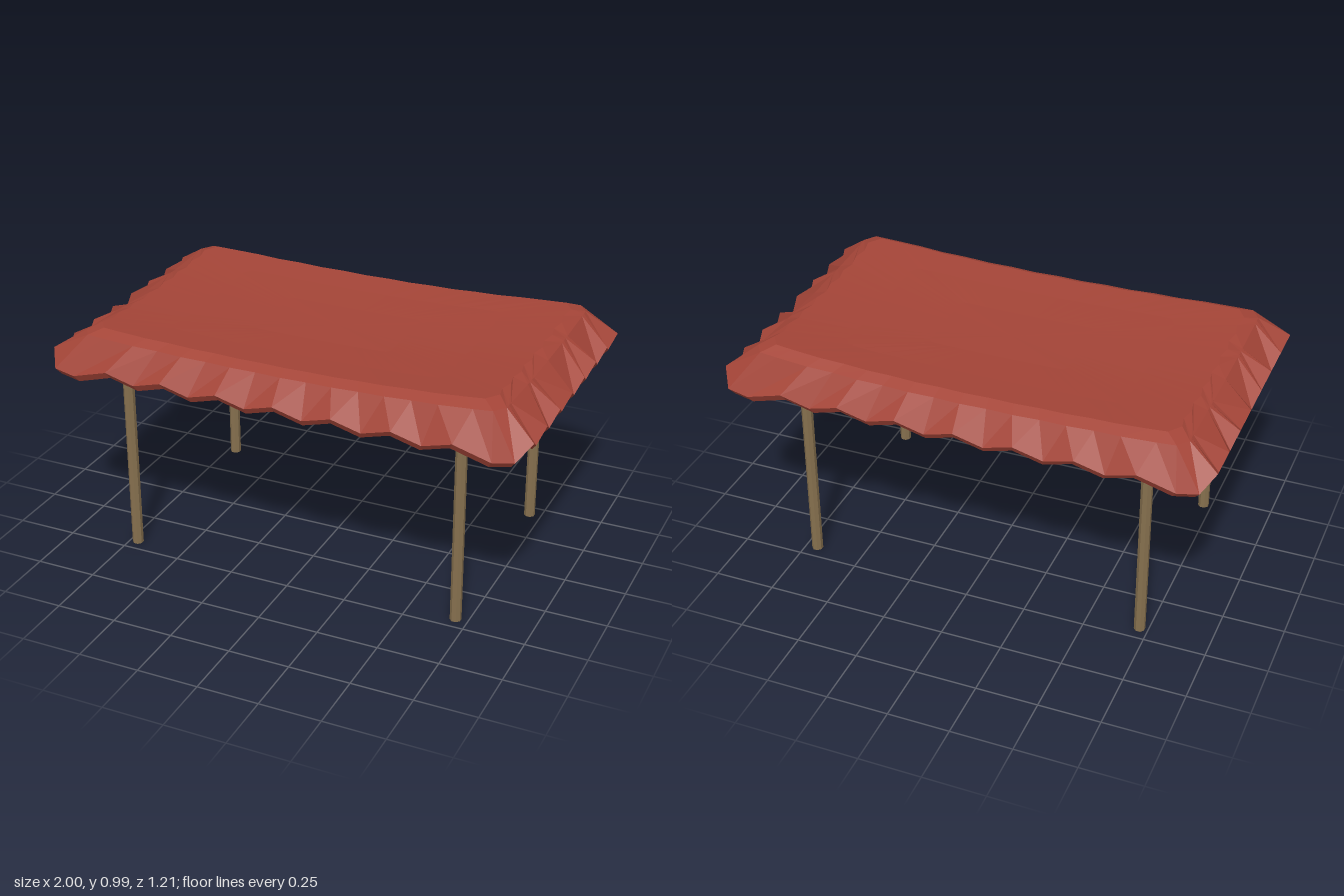
import * as THREE from 'three';

// Height of the sagging cloth top, highest at its four corners
function topHeight(x, z) {
  const u = x / 0.83, v = z / 0.485;
  return 0.935 + 0.02 * v * v + (u > 0 ? 0.035 : 0.02) * u * u;
}

// Zigzag hem, running counter-clockwise seen from above.
// Each entry has the hem point and the shoulder point it hangs from.
function hemPoints() {
  const half = [];
  const add = (x, y, z, sx = x * 0.88, sz = z * 0.878) => half.push({ x, y, z, sx, sz });
  // long edge
  for (let i = -7; i <= 7; i++) {
    const low = i % 2 !== 0, end = Math.abs(i) === 7;
    add(end ? Math.sign(i) * 0.87 : i * 0.12, end ? 0.8 : low ? 0.81 : 0.845, low ? 0.6 : 0.605);
  }
  add(0.955, 0.815, 0.595);
  // short edge, its pleats gathered toward a few shoulder points
  for (let i = 7; i >= -7; i--) {
    const z = i * 0.075, low = i % 2 === 0, a = Math.abs(i);
    const gather = a === 0 ? 0 : Math.sign(i) * (a < 5 ? 0.225 : 0.48);
    add(low ? 0.985 : 1, low ? 0.825 : 0.87, z, 0.875, z * 0.878 * 0.35 + gather * 0.65);
  }
  add(0.955, 0.815, -0.595);
  // the other half is the same, turned about the vertical axis
  return half.concat(half.map(p => ({ x: -p.x, y: p.y, z: -p.z, sx: -p.sx, sz: -p.sz })));
}

function canopyGeometry() {
  const hem = hemPoints(), n = hem.length;
  const topRing = (s, drop) => hem.map(p => {
    const x = p.x * 0.83 * s, z = p.z * 0.802 * s;
    return [x, topHeight(x, z) - drop, z];
  });
  const shoulder = (s, drop) => hem.map(p => {
    const x = p.sx * s, z = p.sz * s;
    return [x, topHeight(x * 0.94, z * 0.91) - 0.02 - drop, z];
  });
  // From the middle of the underside, out round the hem, and back over the top
  const rings = [
    ...[0, 0.35, 0.7, 1].map(s => topRing(s, 0.028)),
    shoulder(0.97, 0.028),
    hem.map(p => [p.x * 0.98, p.y - 0.025, p.z * 0.975]),
    hem.map(p => [p.x, p.y, p.z]),
    shoulder(1, 0),
    ...[1, 0.7, 0.35, 0].map(s => topRing(s, 0)),
  ];
  const index = [];
  for (let r = 0; r < rings.length - 1; r++) {
    for (let i = 0; i < n; i++) {
      const j = (i + 1) % n;
      const a = r * n + i, b = r * n + j, c = b + n, d = a + n;
      if (r > 0) index.push(a, b, c);
      if (r < rings.length - 2) index.push(a, c, d);
      if (r === 0) index.pop(), index.pop(), index.pop(), index.push(a, c, d);
    }
  }
  const geometry = new THREE.BufferGeometry();
  geometry.setAttribute('position', new THREE.Float32BufferAttribute(rings.flat(2), 3));
  geometry.setIndex(index);
  const flat = geometry.toNonIndexed();
  flat.computeVertexNormals();
  return flat;
}

export function createModel() {
  const cloth = new THREE.MeshStandardMaterial({ color: 0xa34437, flatShading: true });
  cloth.name = 'red cloth';
  const wood = new THREE.MeshStandardMaterial({ color: 0x86704e, flatShading: true });
  wood.name = 'brown wood';

  const model = new THREE.Group();
  model.name = 'canopy shelter';

  const canopy = new THREE.Mesh(canopyGeometry(), cloth);
  canopy.name = 'canopy';
  model.add(canopy);

  // Four posts
  const height = 0.94;
  const postGeometry = new THREE.CylinderGeometry(0.023, 0.023, height, 8);
  postGeometry.rotateY(Math.PI / 8);
  for (const [side, x] of [['left', 0.7], ['right', -0.715]]) {
    for (const [end, z] of [['Front', 0.445], ['Back', -0.44]]) {
      const post = new THREE.Mesh(postGeometry, wood);
      post.name = `${side}${end}Post`;
      post.position.set(x, height / 2, z);
      model.add(post);
    }
  }
  return model;
}
